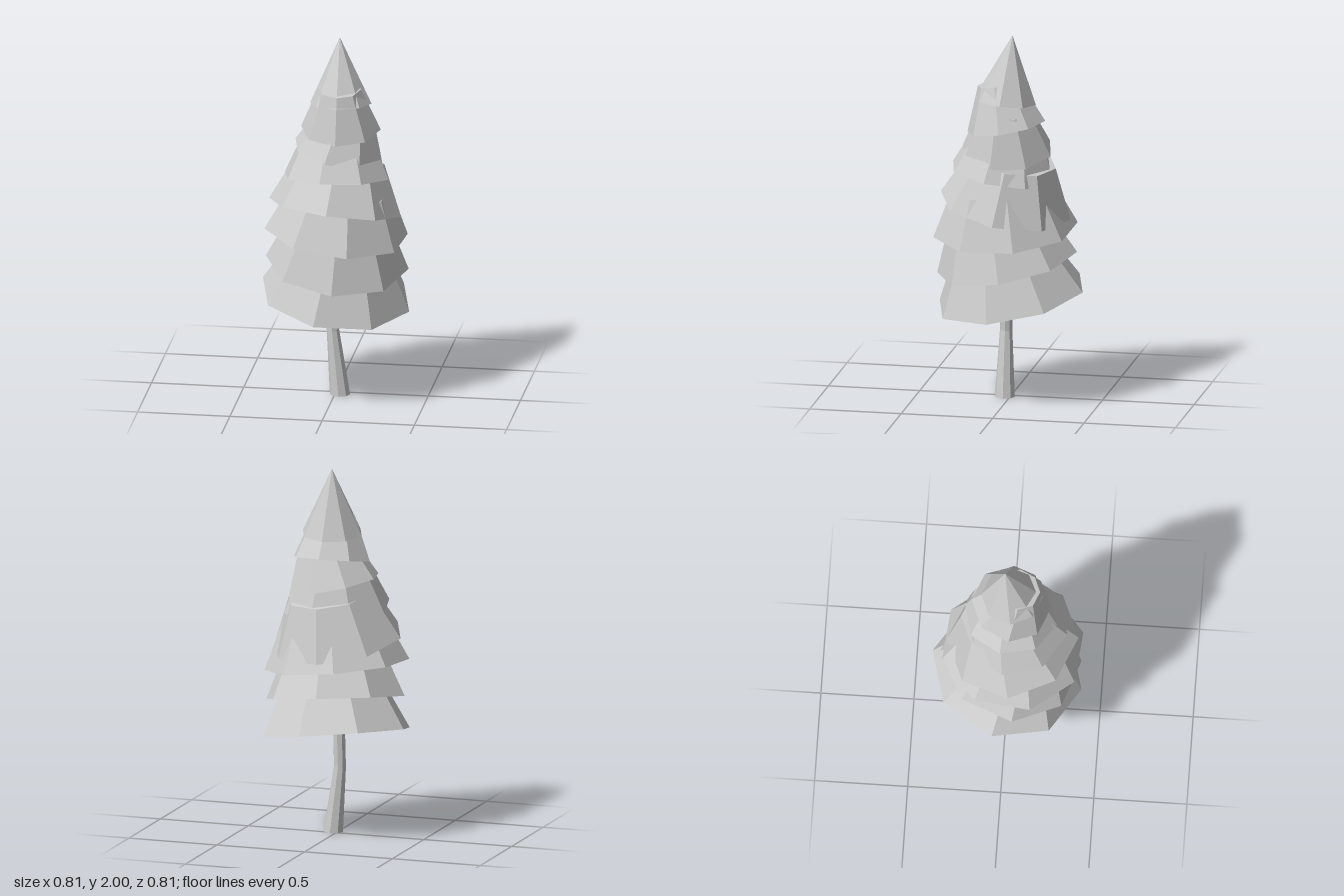
import * as THREE from 'three';

const SIDES = 8;
const UP = new THREE.Vector3(0, 1, 0);

// Foliage tiers, bottom to top:
// rim centre x, y, z, rim radius, top radius, height, turn in degrees, rim slope along x and z
const TIERS = [
  [0.00, 0.55, 0.00, 0.413, 0.28, 0.26, 8.4, -0.125, -0.16],
  [0.01, 0.74, 0.02, 0.385, 0.27, 0.26, -4, -0.09, -0.18],
  [0.005, 0.918, 0.03, 0.39, 0.27, 0.26, 28, -0.11, -0.053],
  [0.00, 1.052, 0.03, 0.36, 0.235, 0.27, 0, -0.10, 0.18],
  [0.01, 1.235, 0.04, 0.293, 0.175, 0.26, 10, 0.0, 0.14],
  [0.02, 1.36, 0.02, 0.253, 0.14, 0.25, 10, -0.22, 0.0],
  [0.03, 1.50, 0.02, 0.216, 0.115, 0.24, 0, 0.0, -0.18],
  [0.03, 1.64, 0.025, 0.167, 0, 0.362, 0, 0.03, 0.10],
];

function createTier([x, y, z, rim, top, height, turn, slopeX, slopeZ], material) {
  const geometry = top > 0
    ? new THREE.CylinderGeometry(top, rim, height, SIDES)
    : new THREE.ConeGeometry(rim, height, SIDES);
  geometry.translate(0, height / 2, 0);
  geometry.rotateY(-THREE.MathUtils.degToRad(turn));
  const tier = new THREE.Mesh(geometry, material);
  const axis = new THREE.Vector3(-slopeX, 1, -slopeZ).normalize();
  tier.quaternion.setFromUnitVectors(UP, axis);
  tier.position.set(x, y, z);
  return tier;
}

// Slightly bent, tapering trunk: one ring of vertices per entry
function createTrunk(material) {
  const rings = [ // y, centre x, radius
    [0.62, -0.005, 0.034],
    [0.36, -0.012, 0.034],
    [0, 0.026, 0.055],
  ];
  const geometry = new THREE.CylinderGeometry(1, 1, 2, SIDES, rings.length - 1);
  const p = geometry.attributes.position;
  for (let i = 0; i < p.count; i++) {
    const [y, cx, r] = rings[Math.round(1 - p.getY(i))];
    p.setXYZ(i, cx + p.getX(i) * r, y, 0.03 + p.getZ(i) * r);
  }
  geometry.computeVertexNormals();
  return new THREE.Mesh(geometry, material);
}

export function createModel() {
  const model = new THREE.Group();
  model.name = 'pineTree';
  const material = new THREE.MeshStandardMaterial({ color: 0xcccccc, flatShading: true });

  const trunk = createTrunk(material);
  trunk.name = 'trunk';
  model.add(trunk);

  // Overlapping tilted tiers, the last one a full cone
  const foliage = new THREE.Group();
  foliage.name = 'foliage';
  TIERS.forEach((row, i) => {
    const tier = createTier(row, material);
    tier.name = i < TIERS.length - 1 ? `foliageTier${i + 1}` : 'treeTop';
    foliage.add(tier);
  });
  model.add(foliage);
  return model;
}
